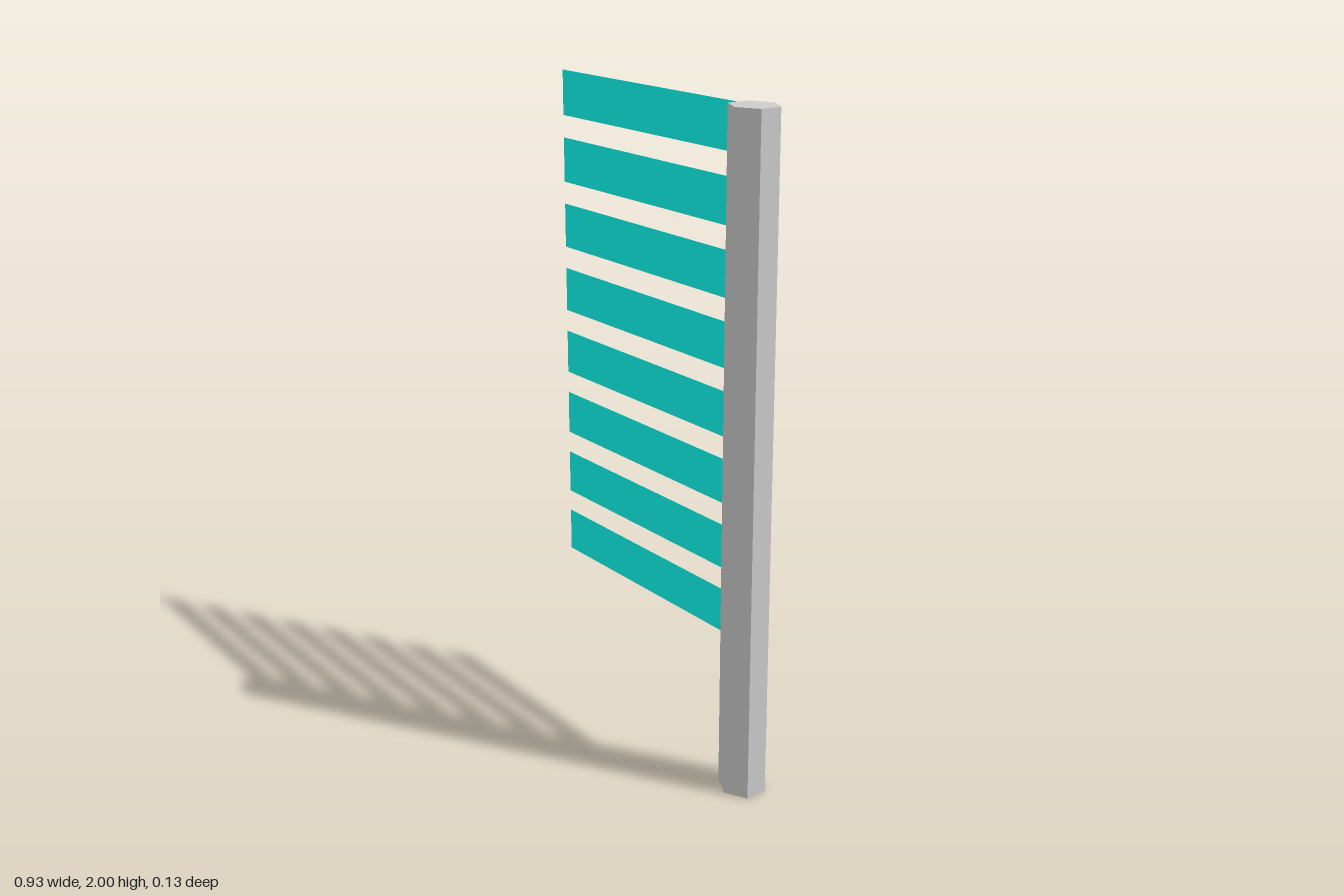
import * as THREE from 'three';

export function createModel() {
  const model = new THREE.Group();
  const grey = new THREE.MeshStandardMaterial({ color: 0xcccccc, flatShading: true });
  const turquoise = new THREE.MeshStandardMaterial({ color: 0x0ffff4, side: THREE.DoubleSide });

  // Hexagonal post, stretched slightly so it is as wide as it is deep
  const radius = 0.0667;
  const postGeometry = new THREE.CylinderGeometry(radius, radius, 2, 6);
  postGeometry.scale(1 / Math.cos(Math.PI / 6), 1, 1);
  const post = new THREE.Mesh(postGeometry, grey);
  post.name = 'post';
  post.position.set(0.4, 1, 0);
  model.add(post);

  // Eight thin strips reaching out from one side of the post
  const strips = new THREE.Group();
  strips.name = 'strips';
  const height = 0.1333;
  const stripGeometry = new THREE.PlaneGeometry(0.8, height);
  for (let i = 0; i < 8; i++) {
    const strip = new THREE.Mesh(stripGeometry, turquoise);
    strip.name = `strip${i + 1}`;
    strip.position.set(-0.0667, 2 - height / 2 - i * 0.2, 0);
    strips.add(strip);
  }
  model.add(strips);

  return model;
}
